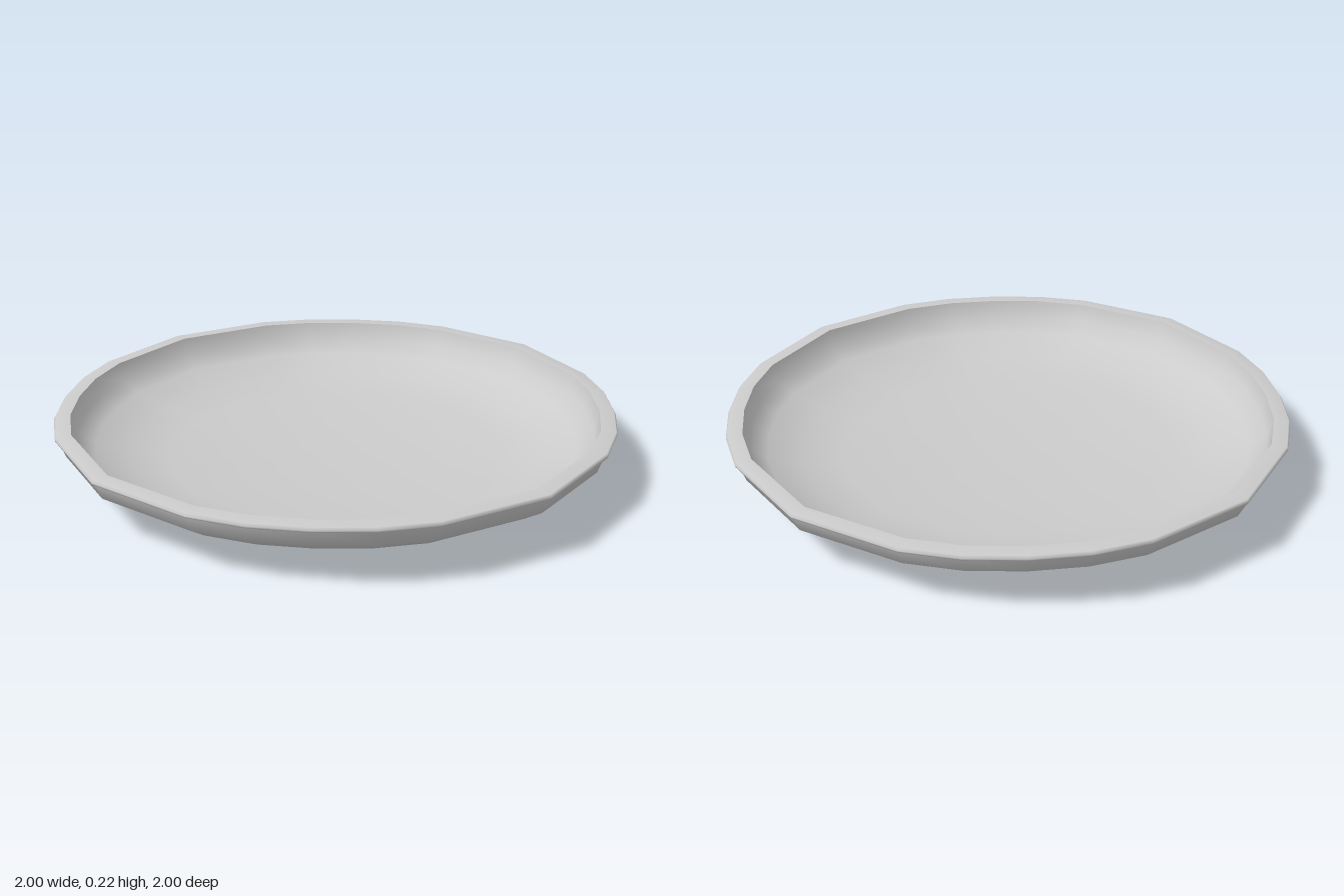
import * as THREE from 'three';
import { mergeVertices } from 'three/addons/utils/BufferGeometryUtils.js';

// Column angles (degrees) within one quadrant, with a small bulge on the diagonal
const ANGLES = [0, 11.25, 22.5, 45, 67.5, 78.75];
const BULGE = [1, 1.004, 1.008, 1.018, 1.008, 1.004];
const SIDES = ANGLES.length * 4;

// Revolve a profile of [radius, height] around y using the uneven columns
function revolve(name, profile, material) {
  const geo = new THREE.LatheGeometry(profile.map(([r, y]) => new THREE.Vector2(r, y)), SIDES);
  const pos = geo.attributes.position;
  for (let i = 0; i < pos.count; i++) {
    const column = Math.floor(i / profile.length) % SIDES;
    const [r, y] = profile[i % profile.length];
    const k = column % ANGLES.length;
    const quadrant = Math.floor(column / ANGLES.length);
    const a = THREE.MathUtils.degToRad(ANGLES[k] + quadrant * 90);
    pos.setXYZ(i, Math.sin(a) * r * BULGE[k], y, Math.cos(a) * r * BULGE[k]);
  }
  // Weld the seam and the centre so the shading is smooth
  geo.deleteAttribute('normal');
  geo.deleteAttribute('uv');
  const welded = mergeVertices(geo, 1e-4);
  welded.computeVertexNormals();
  const mesh = new THREE.Mesh(welded, material);
  mesh.name = name;
  return mesh;
}

export function createModel() {
  const material = new THREE.MeshStandardMaterial({ color: 0xcccccc });
  const plate = new THREE.Group();
  plate.name = 'plate';

  // Underside, from the centre out to just below the lip
  plate.add(revolve('underside', [
    [0, 0.005], [0.34, 0.014], [0.62, 0.036], [0.76, 0.054],
    [0.9, 0.105], [0.967, 0.15], [0.985, 0.203],
  ], material));

  // Thin raised lip with a flat top
  plate.add(revolve('rim', [
    [0.985, 0.203], [0.998, 0.208], [1, 0.215], [0.994, 0.224], [0.943, 0.225],
  ], material));

  // Hollow upper surface, from the rim down to the centre
  plate.add(revolve('dish', [
    [0.943, 0.225], [0.925, 0.16], [0.865, 0.115], [0.74, 0.068],
    [0.6, 0.045], [0.33, 0.027], [0, 0.019],
  ], material));

  return plate;
}
